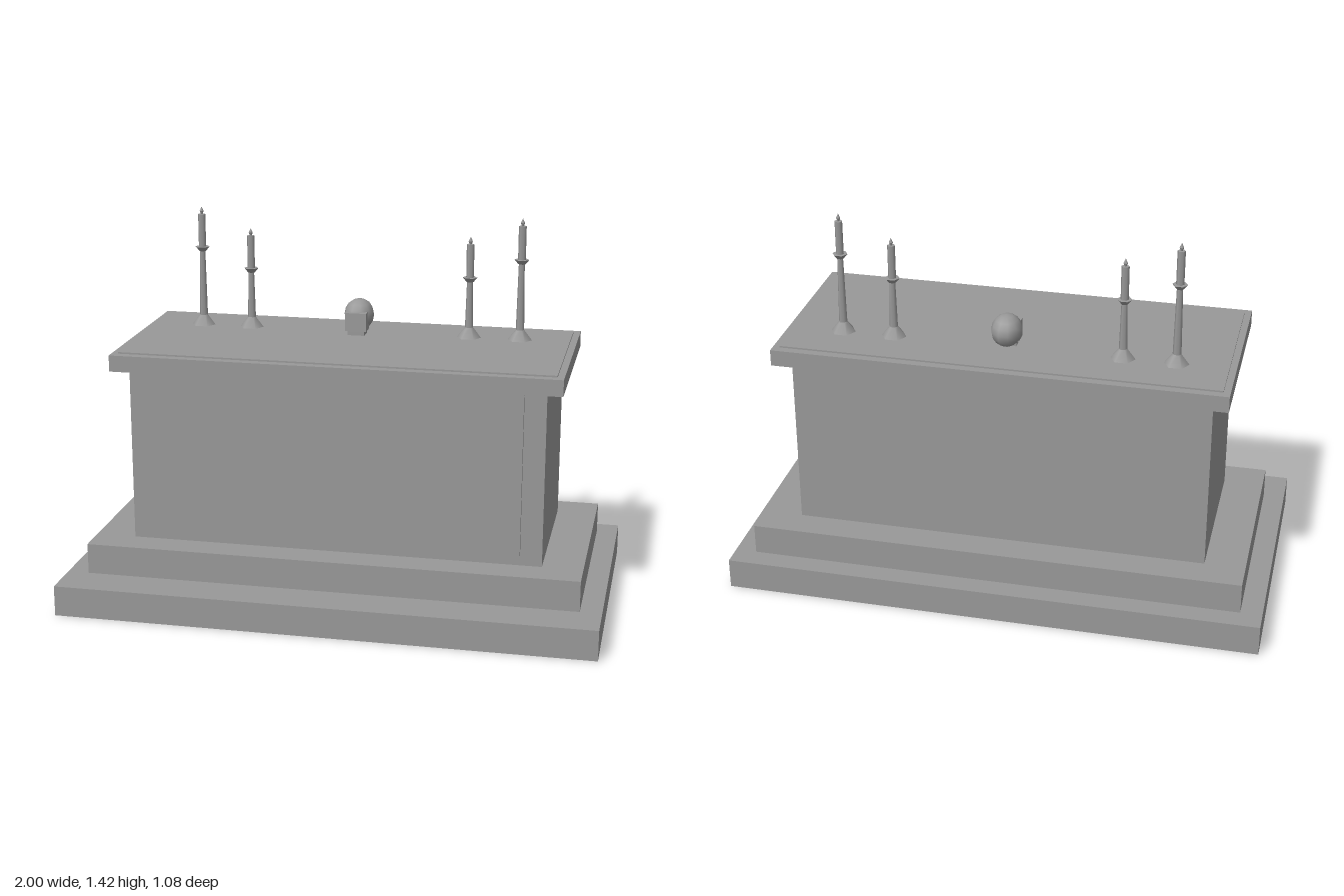
import * as THREE from 'three';

export function createModel() {
  const group = new THREE.Group();
  const stone = new THREE.MeshStandardMaterial({ color: 0x999999 });
  stone.name = 'grey stone';

  const add = (parent, name, geometry, x = 0, y = 0, z = 0) => {
    const mesh = new THREE.Mesh(geometry, stone);
    mesh.name = name;
    mesh.position.set(x, y, z);
    parent.add(mesh);
    return mesh;
  };
  // Box centred on x, given by its half width and its y and z ranges
  const slab = (parent, name, halfX, y0, y1, z0, z1) =>
    add(parent, name, new THREE.BoxGeometry(halfX * 2, y1 - y0, z1 - z0), 0, (y0 + y1) / 2, (z0 + z1) / 2);

  // Steps, altar body and table top
  slab(group, 'lowerStep', 1, 0, 0.115, -0.54, 0.54);
  slab(group, 'upperStep', 0.92, 0.115, 0.23, -0.46, 0.385);
  slab(group, 'altarBody', 0.77, 0.23, 0.888, -0.345, 0.27);
  slab(group, 'frontPanel', 0.69, 0.27, 0.888, 0.27, 0.285);
  slab(group, 'tableTop', 0.83, 0.888, 0.949, -0.4, 0.322);
  slab(group, 'altarCloth', 0.805, 0.949, 0.955, -0.37, 0.29);

  // Candlesticks: a tall outer pair and a shorter inner pair
  const tapered = (top, bottom, height, sides) => {
    const g = new THREE.CylinderGeometry(top, bottom, height, sides);
    return g.rotateY(Math.PI / 2);
  };
  const candlestick = (x, panY) => {
    const stick = new THREE.Group();
    stick.name = 'candlestick';
    stick.position.set(x, 0, -0.195);
    group.add(stick);
    const part = (name, top, bottom, y0, y1, sides = 6) =>
      add(stick, name, tapered(top, bottom, y1 - y0, sides), 0, (y0 + y1) / 2, 0);
    part('foot', 0.015, 0.046, 0.955, 0.995);
    part('stem', 0.011, 0.016, 0.985, panY - 0.01);
    part('dripPan', 0.028, 0.014, panY - 0.017, panY);
    part('candle', 0.0145, 0.0145, panY, panY + 0.126);
    part('flame', 0, 0.008, panY + 0.138, panY + 0.155);
    part('wick', 0.008, 0.003, panY + 0.124, panY + 0.138);
  };
  for (const side of [-1, 1]) {
    candlestick(side * 0.617, 1.262);
    candlestick(side * 0.424, 1.186);
  }

  // Skull: rounded cranium with a blocky face and jaw
  const skull = new THREE.Group();
  skull.name = 'skull';
  group.add(skull);
  const cranium = add(skull, 'cranium', new THREE.SphereGeometry(0.062, 10, 8), 0, 1.024, -0.197);
  cranium.scale.set(0.93, 0.98, 1.1);
  slab(skull, 'face', 0.041, 0.973, 1.043, -0.185, -0.122);
  slab(skull, 'jaw', 0.032, 0.955, 0.98, -0.185, -0.132);

  return group;
}
